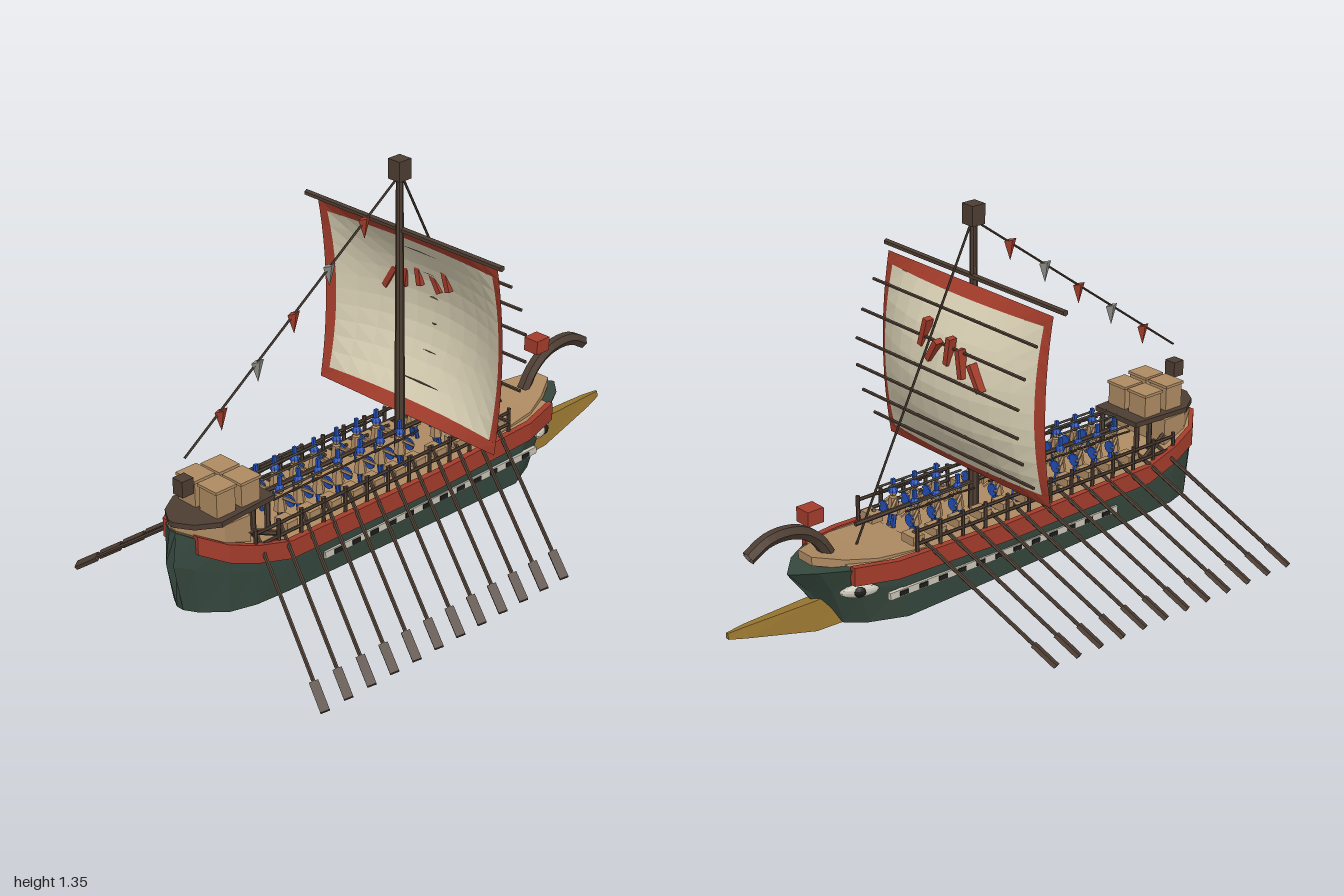
import * as THREE from 'three';

const mat = (color) => new THREE.MeshStandardMaterial({ color, flatShading: true, side: THREE.DoubleSide });
const V = (x, y, z) => new THREE.Vector3(x, y, z);

export function createModel() {
  const root = new THREE.Group();
  const green = mat(0x35473d), red = mat(0xa33c2b), wood = mat(0x4d3d32), tan = mat(0xad8a62);
  const cream = mat(0xd9d0b4), gold = mat(0x96742f), blue = mat(0x2450b8), dark = mat(0x1c1c1a);
  const white = mat(0xc9c5b8), grey = mat(0x8e8e88), steel = mat(0x5f5a52);

  const add = (name, geo, m, parent = root) => {
    const mesh = new THREE.Mesh(geo, m);
    mesh.name = name;
    parent.add(mesh);
    return mesh;
  };
  const group = (name) => {
    const g = new THREE.Group();
    g.name = name;
    root.add(g);
    return g;
  };
  const box = (name, x, y, z, w, h, d, m, parent) => {
    const b = add(name, new THREE.BoxGeometry(w, h, d), m, parent);
    b.position.set(x, y, z);
    return b;
  };
  // round bar between two points
  const bar = (name, a, b, r, m, parent, r2 = r, sides = 6) => {
    const c = add(name, new THREE.CylinderGeometry(r2, r, a.distanceTo(b), sides), m, parent);
    c.position.copy(a).lerp(b, 0.5);
    c.quaternion.setFromUnitVectors(V(0, 1, 0), b.clone().sub(a).normalize());
    return c;
  };
  // skin over closed cross-sections, capped at both ends
  const loft = (sections, closed = true) => {
    const n = sections[0].length, pos = [], idx = [];
    sections.forEach((s) => s.forEach((p) => pos.push(...p)));
    for (let i = 0; i < sections.length - 1; i++)
      for (let j = 0; j < (closed ? n : n - 1); j++) {
        const a = i * n + j, b = i * n + (j + 1) % n;
        idx.push(a, b, a + n, b, b + n, a + n);
      }
    if (closed) [0, (sections.length - 1) * n].forEach((o) => {
      for (let j = 1; j < n - 1; j++) idx.push(o, o + j, o + j + 1);
    });
    const g = new THREE.BufferGeometry();
    g.setAttribute('position', new THREE.Float32BufferAttribute(pos, 3));
    g.setIndex(idx);
    g.computeVertexNormals();
    return g;
  };

  // hull stations: top x, y, half width; bottom x, y, half width
  const stations = [
    [-0.98, 0.42, 0.015, -0.965, 0.14, 0.015], [-0.95, 0.41, 0.07, -0.94, 0.14, 0.06],
    [-0.88, 0.38, 0.135, -0.87, 0.14, 0.125], [-0.78, 0.345, 0.155, -0.78, 0.138, 0.15],
    [-0.65, 0.31, 0.163, -0.65, 0.135, 0.157], [0, 0.3, 0.165, 0, 0.118, 0.16],
    [0.45, 0.31, 0.16, 0.4, 0.103, 0.155], [0.6, 0.32, 0.125, 0.52, 0.1, 0.1],
    [0.69, 0.32, 0.075, 0.58, 0.1, 0.05], [0.76, 0.31, 0.003, 0.6, 0.1, 0.003],
  ];
  add('hull', loft(stations.map(([x, y, w, X, Y, W], i) => {
    const mx = (x + X) / 2 + (i === 0 ? -0.025 : i === 1 ? -0.01 : 0), my = y * 0.6 + Y * 0.4, mw = (w + W) / 2 + 0.003;
    return [[x, y, w], [mx, my, mw], [X, Y, W], [X, Y, -W], [mx, my, -mw], [x, y, -w]];
  })), green);
  add('mainDeck', loft(stations.slice(0, 8).map(([x, y, w]) => [[x, y + 0.006, w * 0.95], [x, y + 0.006, -w * 0.95]]), false), tan);
  add('foreDeck', loft([[0.31, 0.315, 0.14], [0.5, 0.33, 0.125], [0.6, 0.342, 0.085], [0.69, 0.362, 0.035]].map(
    ([x, y, w]) => [[x, y, w], [x, y - 0.03, w], [x, y - 0.03, -w], [x, y, -w]])), tan);

  for (const s of [1, -1]) {
    // raised wale, port strip and eye on each side
    add('wale', loft(stations.slice(1, 8).map(([x, y, w]) =>
      [[x, y + 0.012, s * (w + 0.012)], [x, y - 0.052, s * (w + 0.012)], [x, y - 0.052, s * (w - 0.01)], [x, y + 0.012, s * (w - 0.01)]])), red);
    box('portStrip', -0.01, 0.205, s * 0.163, 0.99, 0.025, 0.014, white);
    for (let i = 0; i < 12; i++) box('oarPort', -0.45 + i * 0.08, 0.205, s * 0.169, 0.035, 0.016, 0.008, dark);
    const eye = group('bowEye');
    eye.position.set(0.57, 0.237, s * 0.119);
    eye.rotation.y = s * 0.42;
    const ball = new THREE.SphereGeometry(1, 12, 8);
    add('eyeWhite', ball, white, eye).scale.set(0.065, 0.022, 0.016);
    const pupil = add('pupil', ball, dark, eye);
    pupil.scale.set(0.022, 0.018, 0.012);
    pupil.position.z = s * 0.009;

    // side railing and benches
    for (const y of [0.345, 0.39]) bar('sideRail', V(-0.78, y, s * 0.152), V(0.36, y, s * 0.152), 0.006, wood);
    for (let i = 0; i < 13; i++) {
      const x = -0.78 + i * 0.095;
      bar('railPost', V(x, 0.3, s * 0.152), V(x, 0.405, s * 0.152), 0.007, wood);
      if (i > 1) box('bench', x - 0.02, 0.345, s * 0.105, 0.045, 0.03, 0.06, tan);
    }
    // oars
    for (let i = 0; i < 12; i++) {
      const px = -0.755 + i * 0.0972, oar = group('oar');
      const a = V(px + 0.02, 0.365, s * 0.1), b = V(px - 0.155, 0.018, s * 0.592);
      bar('oarShaft', a, b, 0.007, wood, oar);
      const blade = box('oarBlade', 0, 0, 0, 0.03, 0.1, 0.014, wood, oar);
      blade.position.copy(a).lerp(b, 0.92);
      blade.quaternion.setFromUnitVectors(V(0, 1, 0), b.clone().sub(a).normalize());
    }
  }

  // crew with crested helmets, shields and spears
  const columns = [-0.59, -0.51, -0.425, -0.34, -0.24, -0.15, -0.06, 0.11, 0.2, 0.29];
  for (const s of [1, -1]) for (const x of columns) {
    const man = group('crewman');
    man.position.set(x, 0, s * 0.055);
    bar('tunic', V(0, 0.36, 0), V(0, 0.415, 0), 0.022, tan, man, 0.014);
    for (const k of [1, -1]) {
      bar('leg', V(0.012, 0.31, k * 0.012), V(0, 0.37, k * 0.01), 0.007, blue, man);
      bar('arm', V(0, 0.41, k * 0.015), V(0.035, 0.385, k * 0.03), 0.006, tan, man);
    }
    const head = add('head', new THREE.SphereGeometry(0.014, 8, 6), tan, man);
    head.position.y = 0.432;
    const helmet = add('helmet', new THREE.SphereGeometry(0.017, 8, 4, 0, Math.PI * 2, 0, Math.PI / 2), blue, man);
    helmet.position.y = 0.434;
    box('crest', 0, 0.462, 0, 0.012, 0.035, 0.01, blue, man);
    bar('shield', V(0.028, 0.385, s * 0.012), V(0.034, 0.385, s * 0.012), 0.022, blue, man, 0.022, 10);
    bar('spear', V(-0.05, 0.425, s * 0.026), V(0.06, 0.43, s * 0.026), 0.0035, wood, man);
  }
  for (const s of [1, -1]) for (const [y, z] of [[0.472, 0.025], [0.45, 0.085]])
    for (const [x0, x1] of [[-0.63, -0.36], [0.07, 0.33]]) bar('longSpear', V(x0, y, s * z), V(x1, y, s * z), 0.004, steel);
  bar('gangwayBeam', V(-0.62, 0.41, 0), V(0.49, 0.4, 0), 0.008, wood);

  // stern cabin, platform and cargo
  const cabin = [[-0.975, 0.012], [-0.94, 0.07], [-0.87, 0.115], [-0.77, 0.12]];
  add('sternCabin', loft(cabin.map(([x, w], i) =>
    [[x, 0.442, w], [x, 0.4 - i * 0.03, w], [x, 0.4 - i * 0.03, -w], [x, 0.442, -w]])), tan);
  add('sternPlatform', loft([...cabin.slice(0, 3), [-0.64, 0.1]].map(([x, w]) =>
    [[x - 0.01, 0.458, w], [x - 0.01, 0.44, w], [x - 0.01, 0.44, -w], [x - 0.01, 0.458, -w]])), wood);
  for (const s of [1, -1]) {
    for (const x of [-0.73, -0.67]) bar('platformPost', V(x, 0.31, s * 0.085), V(x, 0.45, s * 0.085), 0.01, wood);
    bar('platformBrace', V(-0.78, 0.385, s * 0.11), V(-0.65, 0.335, s * 0.14), 0.01, wood);
    for (const [x, h] of [[-0.84, 0.088], [-0.74, 0.08]]) {
      box('crate', x, 0.458 + h / 2, s * 0.05, 0.075, h, 0.08, tan);
      box('crateLid', x, 0.458 + h, s * 0.05, 0.083, 0.01, 0.088, tan);
    }
  }
  box('sternLantern', -0.93, 0.56, 0, 0.045, 0.055, 0.045, wood);

  // bow: ram, curled stem and red block
  add('ram', loft([[0.56, 0.1, 0.2, 0.045], [0.68, 0.1, 0.195, 0.04], [0.93, 0.155, 0.192, 0.02], [0.995, 0.168, 0.188, 0.008]].map(
    ([x, y0, y1, w]) => [[x, y1, w * 0.5], [x, y0, w], [x, y0, -w], [x, y1, -w * 0.5]])), gold);
  const curl = new THREE.CatmullRomCurve3([V(0.6, 0.335, 0), V(0.64, 0.395, 0), V(0.7, 0.44, 0), V(0.77, 0.457, 0), V(0.84, 0.45, 0), V(0.905, 0.415, 0)]);
  add('curledStem', new THREE.TubeGeometry(curl, 14, 0.024, 6), wood);
  box('bowBlock', 0.665, 0.49, 0, 0.062, 0.05, 0.06, red);

  // mast, yard and rigging
  bar('mast', V(-0.005, 0.3, 0), V(-0.005, 1.3, 0), 0.019, wood, root, 0.012, 8);
  box('mastHead', -0.005, 1.328, 0, 0.052, 0.068, 0.052, wood);
  bar('yard', V(0, 1.12, -0.437), V(0, 1.12, 0.437), 0.011, wood);
  bar('foreStay', V(0, 1.31, 0), V(0.49, 0.32, 0), 0.004, wood);
  bar('backStay', V(0, 1.31, 0), V(-0.92, 0.65, 0), 0.004, wood);
  for (let i = 0; i < 5; i++) {
    const p = add('pennant', new THREE.ConeGeometry(0.026, 0.07, 4), i % 2 ? grey : red);
    p.position.set(-0.77 + i * 0.1525, 0.722 + i * 0.112, 0);
    p.rotation.x = Math.PI;
    p.scale.z = 0.4;
  }

  // billowing sail with border
  const sailX = (u, v) => 0.018 + (1 - v * v) * (0.03 + 0.11 * (1 - u * u));
  const patch = (u0, u1, v0, v1, nu, nv) => loft(Array.from({ length: nv + 1 }, (_, j) =>
    Array.from({ length: nu + 1 }, (_, i) => {
      const u = u0 + (u1 - u0) * i / nu, v = v0 + (v1 - v0) * j / nv;
      return [sailX(u, v), 0.778 + 0.325 * v, 0.402 * u];
    })), false);
  add('sailCloth', patch(-0.92, 0.92, -0.88, 0.88, 10, 10), cream);
  for (const s of [1, -1]) {
    add('sailSideBorder', patch(s * 0.92, s, -0.88, 0.88, 1, 10), red);
    add('sailEndBorder', patch(-1, 1, s * 0.88, s, 12, 1), red);
  }
  for (let i = 0; i < 6; i++) {
    const y = 1.02 - i * 0.095, x = sailX(0, (y - 0.778) / 0.325) + 0.004;
    bar('sailBatten', V(x, y, -0.4), V(x, y, 0.4), 0.006, wood);
  }
  // slanted stripes on the sail front
  [[0.082, 0.94, -0.3, 0.1], [0.018, 0.9, -0.55, 0.085], [-0.052, 0.915, -0.17, 0.095], [-0.112, 0.89, 0.15, 0.095], [-0.178, 0.86, 0.55, 0.095]]
    .forEach(([z, y, tilt, len]) => {
      const stripe = box('sailStripe', sailX(z / 0.4, (y - 0.778) / 0.325) + 0.008, y, z, 0.03, len, 0.02, red);
      stripe.rotation.x = tilt;
    });
  return root;
}
